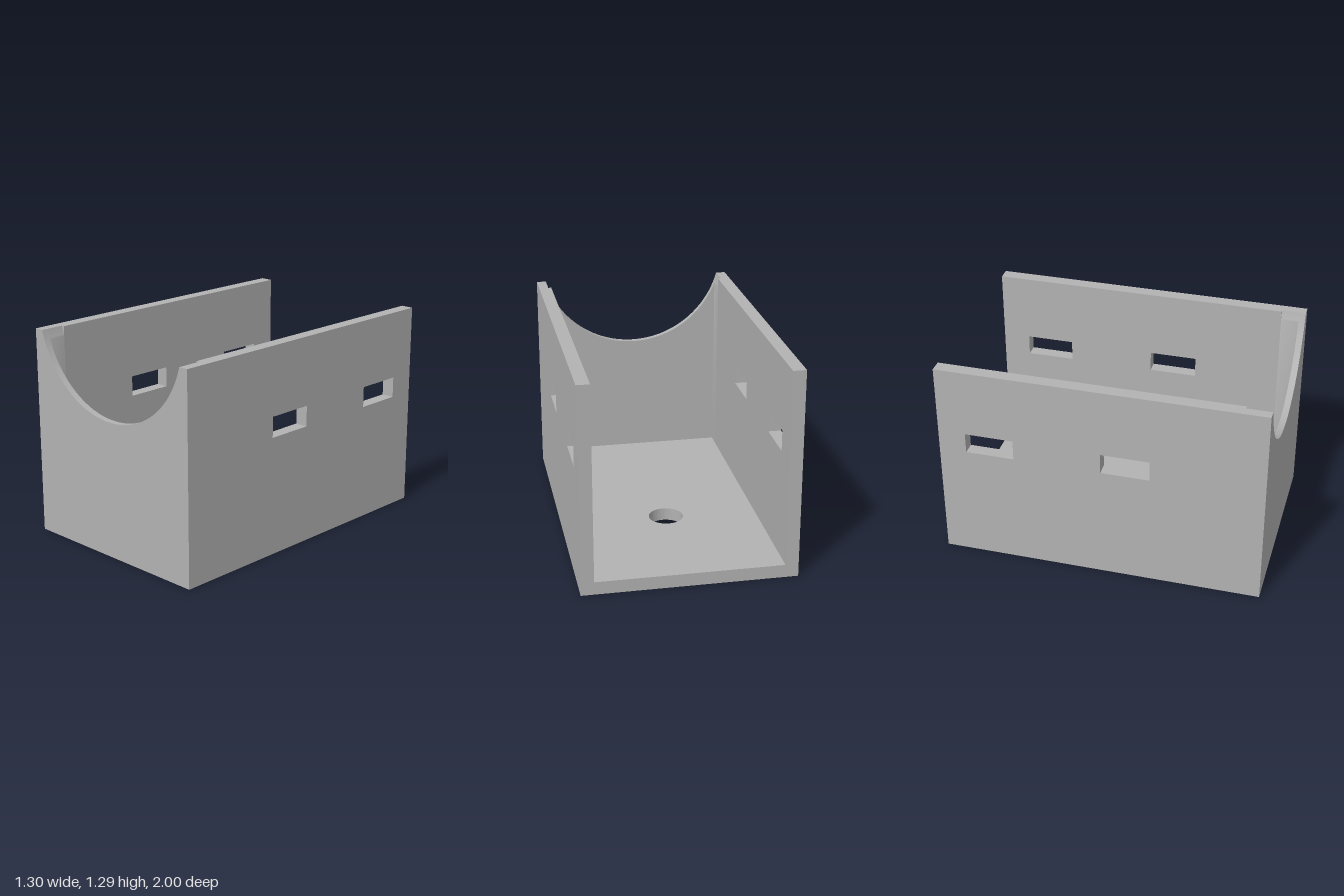
import * as THREE from 'three';
import { toCreasedNormals } from 'three/addons/utils/BufferGeometryUtils.js';

const W = 0.648, INNER = 0.568, H = 1.294;   // half width, inner half width, height
const FLOOR = 0.08, WALL = W - INNER;        // plate thicknesses
const FRONT = 0.96, NOTCH = 0.85;            // z of front plate back, z where the round cut ends
const CY = 1.457, R = 0.61;                  // centre height and radius of the round cut

const rect = (Type, x0, y0, x1, y1) => new Type([
  new THREE.Vector2(x0, y0), new THREE.Vector2(x1, y0),
  new THREE.Vector2(x1, y1), new THREE.Vector2(x0, y1),
]);

const extrude = (shape, depth) =>
  new THREE.ExtrudeGeometry(shape, { depth, bevelEnabled: false, curveSegments: 48 });

export function createModel() {
  const group = new THREE.Group();
  const grey = new THREE.MeshStandardMaterial({ color: 0xb2b2b2 });
  const add = (name, geometry) => {
    const mesh = new THREE.Mesh(toCreasedNormals(geometry, 0.5), grey);
    mesh.name = name;
    group.add(mesh);
  };

  // Floor with a round hole
  const floor = rect(THREE.Shape, -INNER, -FRONT, INNER, 1);
  const hole = new THREE.Path();
  hole.absarc(0, 0.23, 0.108, 0, Math.PI * 2, true);
  floor.holes.push(hole);
  add('floor', extrude(floor, FLOOR).rotateX(-Math.PI / 2));

  // Front plate with the round cradle cut
  const angle = Math.asin((CY - H) / R);
  const front = new THREE.Shape();
  front.moveTo(-W, 0);
  front.lineTo(W, 0);
  front.lineTo(W, H);
  front.lineTo(R * Math.cos(angle), H);
  front.absarc(0, CY, R, -angle, -Math.PI + angle, true);
  front.lineTo(-W, H);
  add('frontPlate', extrude(front, 1 - FRONT).translate(0, 0, FRONT));

  // Angle at which the cut meets the inner wall face
  const wallAngle = Math.acos(INNER / R);

  for (const [side, s] of [['left', 1], ['right', -1]]) {
    // Side wall with two rectangular slots
    const wall = rect(THREE.Shape, -NOTCH, 0, 1, H);
    for (const z of [0.31, -0.53]) {
      wall.holes.push(rect(THREE.Path, -z, 0.738, -z + 0.3, 0.867));
    }
    add(side + 'Wall', extrude(wall, WALL).rotateY(Math.PI / 2)
      .translate(s > 0 ? INNER : -W, 0, 0));

    // Short wall end, relieved by the round cut
    const end = new THREE.Shape();
    end.moveTo(s * INNER, 0);
    end.lineTo(s * W, 0);
    end.lineTo(s * W, H);
    for (let i = 0; i <= 6; i++) {
      const a = angle + (wallAngle - angle) * i / 6;
      end.lineTo(s * R * Math.cos(a), CY - R * Math.sin(a));
    }
    add(side + 'WallEnd', extrude(end, FRONT - NOTCH).translate(0, 0, NOTCH));
  }
  return group;
}
